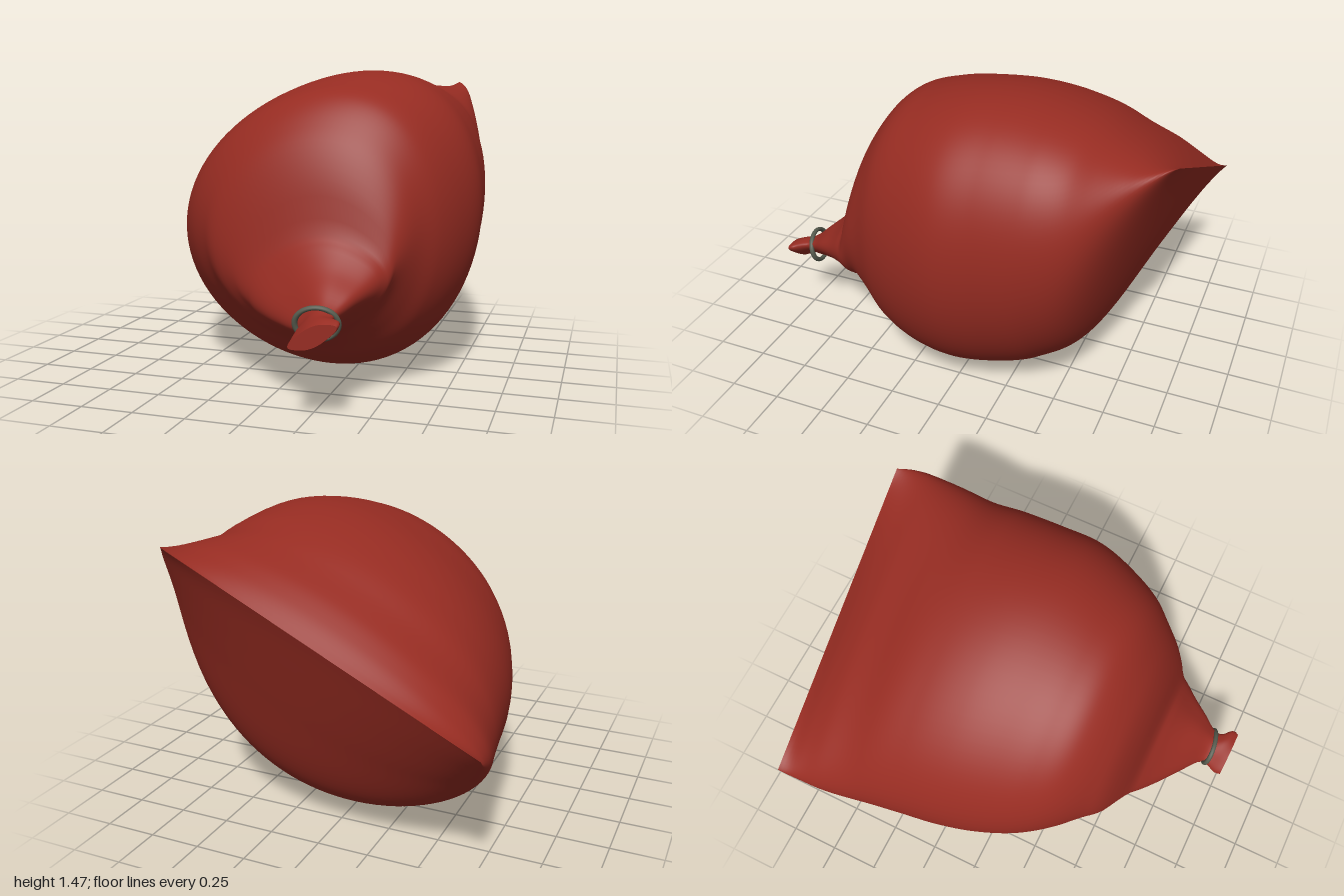
import * as THREE from 'three';

// Cross-sections from the flat back seam to the tied mouth:
// z, then xMin, xMax, yMin, yMax and skew (degrees; 90 flattens the section into a diagonal line)
const SECTIONS = [
  [-1.0, -0.85, 0.57, 0.72, 1.42, 90],
  [-0.9, -0.84, 0.635, 0.62, 1.40, 64],
  [-0.8, -0.83, 0.68, 0.49, 1.40, 44],
  [-0.6, -0.79, 0.76, 0.19, 1.42, 19],
  [-0.4, -0.76, 0.81, 0.07, 1.46, 11],
  [-0.2, -0.73, 0.83, 0.015, 1.48, 8],
  [0.0, -0.68, 0.84, 0.01, 1.47, 6],
  [0.2, -0.60, 0.79, 0.06, 1.425, 3],
  [0.35, -0.50, 0.72, 0.14, 1.36, 1],
  [0.45, -0.40, 0.65, 0.22, 1.25, 1],
  [0.53, -0.31, 0.60, 0.27, 1.11, 3],
  [0.58, -0.20, 0.565, 0.29, 0.95, 6],
  [0.61, -0.13, 0.545, 0.30, 0.79, 10],
  [0.65, -0.08, 0.52, 0.31, 0.73, 15],
  [0.72, 0.01, 0.475, 0.33, 0.65, 20],
  [0.80, 0.12, 0.43, 0.35, 0.58, 25],
  [0.88, 0.22, 0.385, 0.37, 0.51, 30],
  [0.92, 0.22, 0.385, 0.37, 0.49, 36],
  [0.97, 0.21, 0.43, 0.34, 0.49, 44],
  [1.0, 0.215, 0.425, 0.345, 0.475, 46],
];
const spline = new THREE.CubicInterpolant(
  SECTIONS.map((s) => s[0]), SECTIONS.flatMap((s) => s.slice(1)), 5);
const { smoothstep, degToRad } = THREE.MathUtils;

// Points round the sack at depth z
function outline(z, sides) {
  const [x0, x1, y0, y1, skew] = spline.evaluate(z);
  const phi = degToRad(skew);
  // the belly is fuller on one side; gathered folds fade in towards the neck
  const belly = 0.15 * smoothstep(z, -1, -0.65) * (1 - smoothstep(z, 0.35, 0.62));
  const fold = 0.1 * smoothstep(z, 0.45, 0.75);
  return Array.from({ length: sides }, (_, j) => {
    const t = (j / sides) * Math.PI * 2;
    const r = 1 - fold * (0.5 - 0.5 * Math.cos(4 * t));
    return new THREE.Vector2(
      (x0 + x1) / 2 + ((x1 - x0) / 2) * r * (Math.cos(t) + belly * Math.sin(t) ** 2),
      (y0 + y1) / 2 + ((y1 - y0) / 2) * r * Math.sin(t + phi),
    );
  });
}

function sackGeometry(rows = 120, sides = 96) {
  const pos = [];
  const index = [];
  for (let i = 0; i <= rows; i++) {
    const z = -1 + (2 * i) / rows;
    outline(z, sides).forEach((p, j) => {
      pos.push(p.x, p.y, z);
      if (i === rows) return;
      const a = i * sides + j;
      const b = i * sides + ((j + 1) % sides);
      index.push(a, b, a + sides, b, b + sides, a + sides);
    });
  }
  const geo = new THREE.BufferGeometry();
  geo.setAttribute('position', new THREE.Float32BufferAttribute(pos, 3));
  geo.setIndex(index);
  geo.computeVertexNormals();
  return geo;
}

export function createModel() {
  const cloth = new THREE.MeshStandardMaterial({ color: 0x972c22 });
  cloth.name = 'red cloth';
  const cord = new THREE.MeshStandardMaterial({ color: 0x565b4e });
  cord.name = 'grey cord';

  const group = new THREE.Group();
  group.name = 'tiedSack';
  const add = (name, geo, mat) => {
    const mesh = new THREE.Mesh(geo, mat);
    mesh.name = name;
    group.add(mesh);
    return mesh;
  };

  add('sackBody', sackGeometry(), cloth);

  // Cloth closing the mouth
  const mouth = new THREE.ShapeGeometry(new THREE.Shape(outline(1, 48)));
  add('sackMouth', mouth.translate(0, 0, 0.999), cloth);

  // Cord looped round the neck, leaning with the cloth
  const tie = add('neckCord', new THREE.TorusGeometry(0.088, 0.012, 12, 48), cord);
  tie.position.set(0.305, 0.438, 0.888);
  tie.scale.set(1.05, 0.85, 1);
  tie.lookAt(0.305 + 0.18, 0.438 - 0.25, 1.888);
  return group;
}
